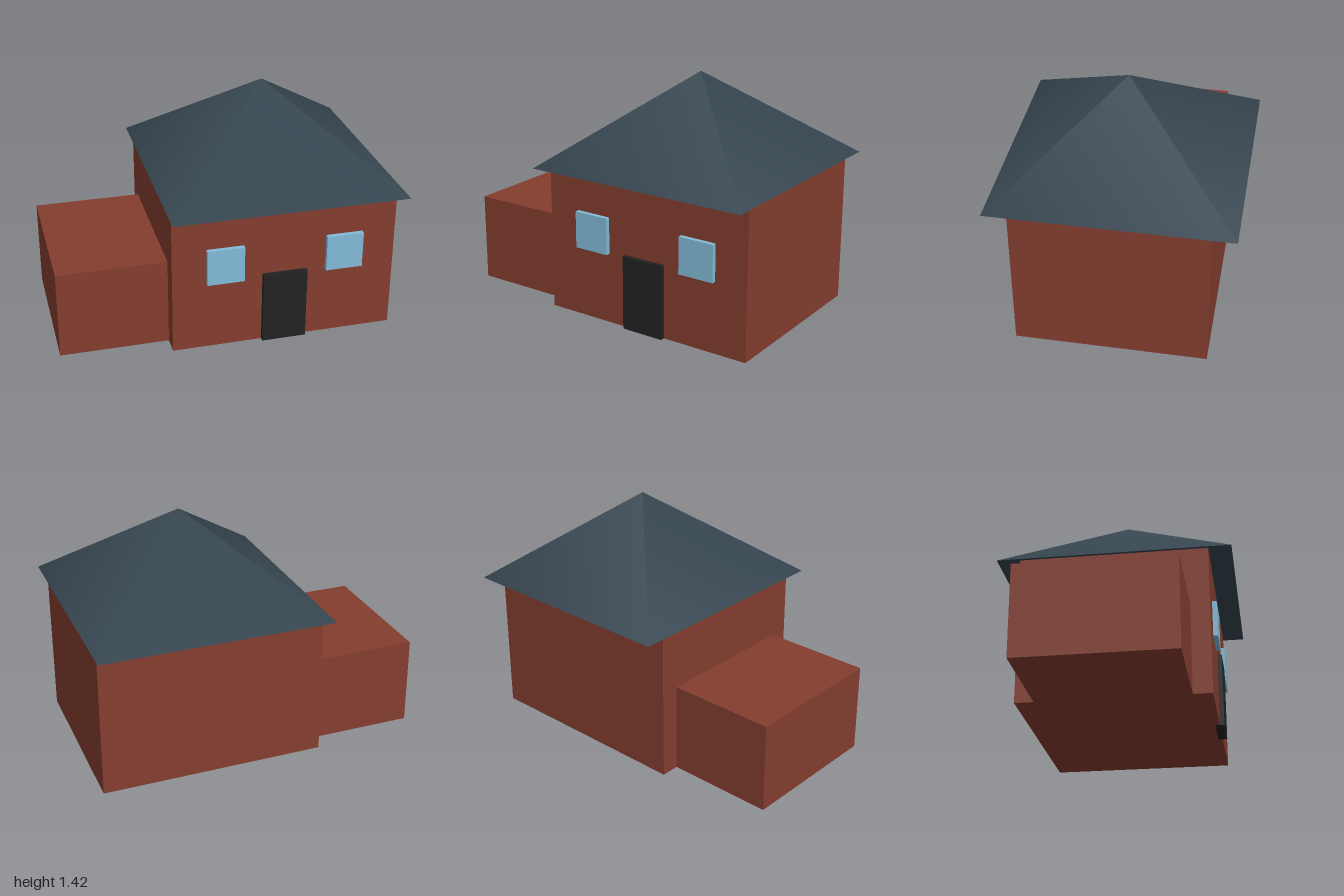
import * as THREE from 'three';

export function createModel() {
  const house = new THREE.Group();
  house.name = 'house';

  const paint = (color) => new THREE.MeshStandardMaterial({ color });
  const brick = paint(0x843d2f);
  const slate = paint(0x36454f);
  const glass = paint(0x82bcd9);
  const dark = paint(0x222222);

  // Box given by its extents along each axis
  function box(name, material, [x0, x1], [y0, y1], [z0, z1]) {
    const mesh = new THREE.Mesh(new THREE.BoxGeometry(x1 - x0, y1 - y0, z1 - z0), material);
    mesh.position.set((x0 + x1) / 2, (y0 + y1) / 2, (z0 + z1) / 2);
    mesh.name = name;
    house.add(mesh);
  }

  // Main block and lower side extension
  const wallZ = 0.553, wallTop = 0.89, centreX = 0.308;
  box('mainWalls', brick, [-0.357, 0.973], [0, wallTop], [-wallZ, wallZ]);
  box('sideExtension', brick, [-1, -0.357], [0, 0.533], [-0.442, 0.442]);

  // Door and the pair of windows, standing slightly proud of the front wall
  const front = [wallZ - 0.027, wallZ + 0.027];
  box('door', dark, [0.176, 0.44], [0, 0.444], front);
  for (const [name, side] of [['rightWindow', -1], ['leftWindow', 1]]) {
    const x = centreX + side * 0.355;
    box(name, glass, [x - 0.11, x + 0.11], [0.425, 0.645], front);
  }

  // Overhanging four-sided pyramid roof
  const half = 0.688, height = 0.53;
  const roof = new THREE.Mesh(new THREE.ConeGeometry(half * Math.SQRT2, height, 4), slate);
  roof.rotation.y = Math.PI / 4;
  roof.position.set(centreX + 0.004, wallTop + height / 2, 0);
  roof.name = 'roof';
  house.add(roof);

  return house;
}
